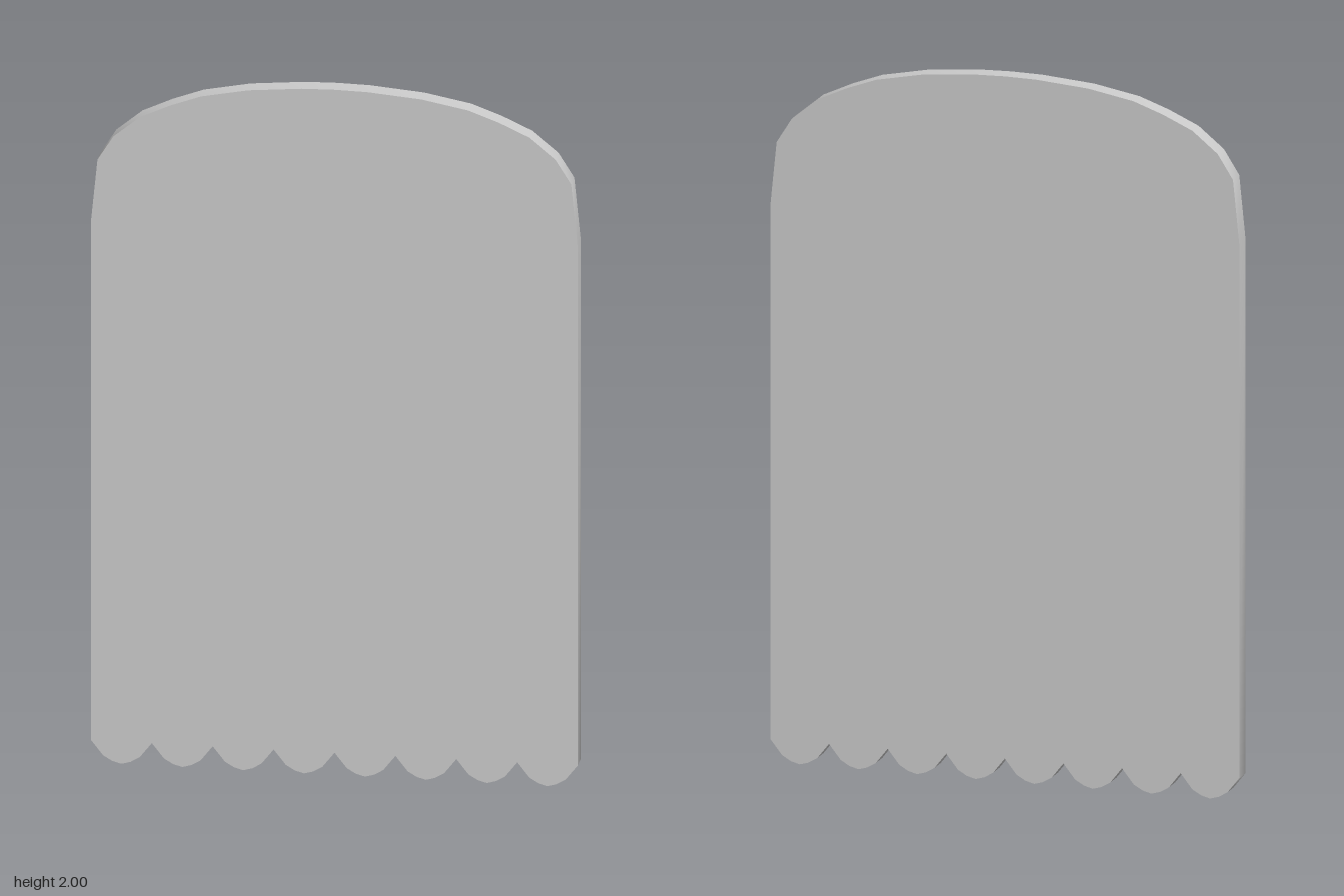
import * as THREE from 'three';
import { toCreasedNormals } from 'three/addons/utils/BufferGeometryUtils.js';

const HALF = 0.675;      // half width of the panel
const DEPTH = 0.056;
const SCALLOPS = 8;
const NOTCH = 0.065;     // height of the notches between scallops

export function createModel() {
  const outline = [];

  // Scalloped lower edge, left to right
  const step = (2 * HALF) / SCALLOPS;
  const scallop = [[0, NOTCH], [0.2, 0.022], [0.35, 0.007], [0.5, 0], [0.65, 0.007], [0.8, 0.022]];
  for (let i = 0; i < SCALLOPS; i++) {
    for (const [t, y] of scallop) outline.push(new THREE.Vector2(-HALF + (i + t) * step, y));
  }
  outline.push(new THREE.Vector2(HALF, NOTCH));

  // Right side, shoulder and arched top, over to the left side
  const arch = [
    [HALF, 1.58], [0.657, 1.76], [0.613, 1.83], [0.54, 1.89], [0.455, 1.929],
    [0.37, 1.96], [0.24, 1.985], [0.09, 1.998],
  ];
  for (const [x, y] of arch) outline.push(new THREE.Vector2(x, y));
  outline.push(new THREE.Vector2(0, 2));
  for (const [x, y] of [...arch].reverse()) outline.push(new THREE.Vector2(-x, y));

  const slab = new THREE.ExtrudeGeometry(new THREE.Shape(outline), { depth: DEPTH, bevelEnabled: false });
  slab.translate(0, 0, -DEPTH / 2);

  const panel = new THREE.Mesh(
    toCreasedNormals(slab, 0.7),
    new THREE.MeshStandardMaterial({ color: 0xcccccc }),
  );
  panel.name = 'scallopedPanel';

  const model = new THREE.Group();
  model.name = 'archedPanel';
  model.add(panel);
  return model;
}
